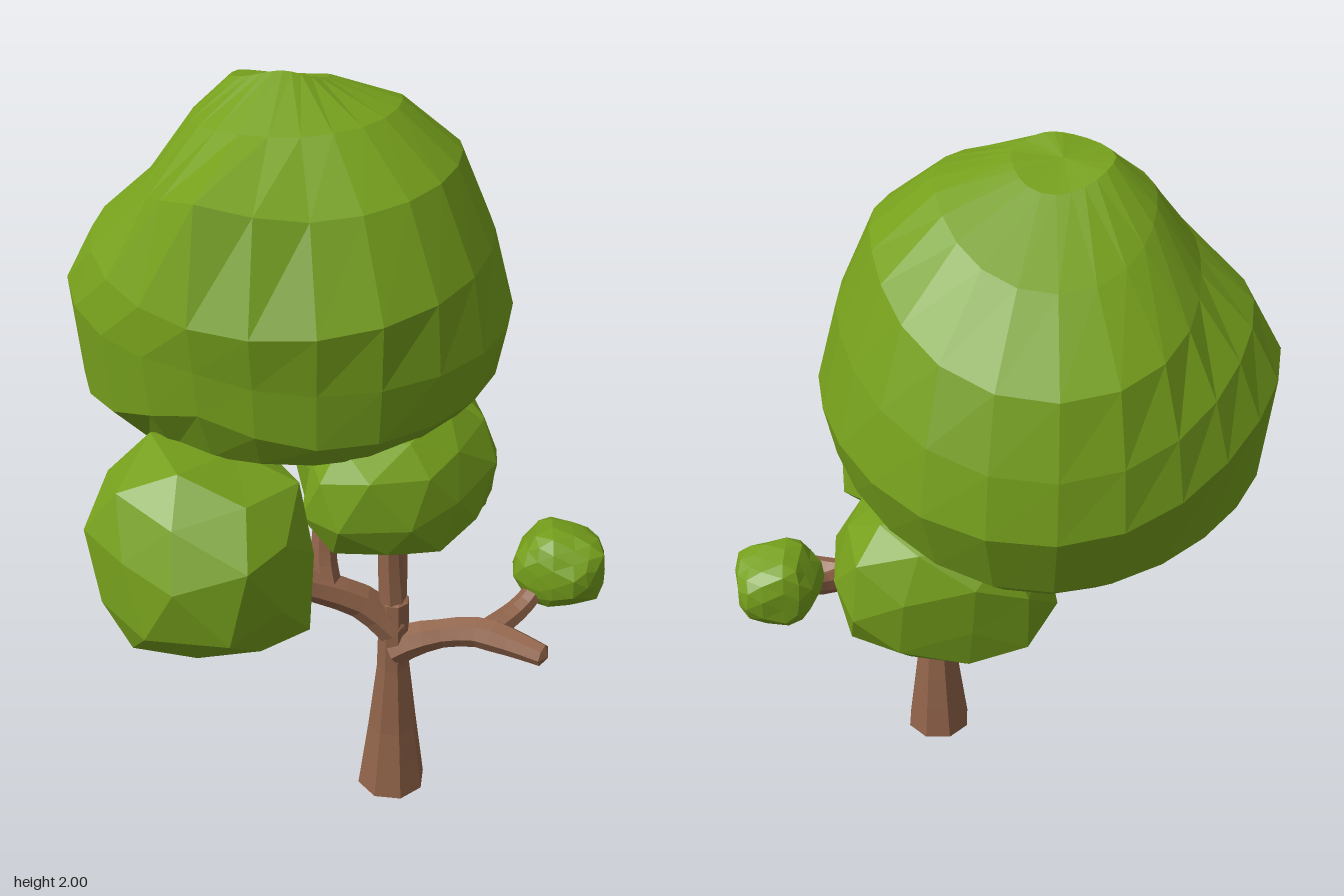
import * as THREE from 'three';

const leaf = new THREE.MeshStandardMaterial({ color: 0x76a01c, flatShading: true });
const bark = new THREE.MeshStandardMaterial({ color: 0x91644a, flatShading: true });
const V = (x, y, z) => new THREE.Vector3(x, y, z);

// Closed skin over a row of rings, with a centre point capping each end
function loft(rings, startTip, endTip) {
  const n = rings[0].length;
  const points = [...rings.flat(), startTip, endTip];
  const start = points.length - 2, end = start + 1, last = (rings.length - 1) * n;
  const index = [];
  for (let j = 0; j < n; j++) {
    const k = (j + 1) % n;
    for (let i = 0; i < last; i += n) index.push(i + j, i + k, i + n + k, i + j, i + n + k, i + n + j);
    index.push(start, k, j, end, last + j, last + k);
  }
  const g = new THREE.BufferGeometry().setFromPoints(points);
  g.setIndex(index);
  const flat = g.toNonIndexed();
  flat.computeVertexNormals();
  return flat;
}

// Tapered limb along a curve; radii are spread evenly over its length
function limb(name, path, radii, sides = 7, steps = 7) {
  const curve = new THREE.CatmullRomCurve3(path.map(p => V(...p)));
  const { normals, binormals, tangents } = curve.computeFrenetFrames(steps);
  const rings = [];
  for (let i = 0; i <= steps; i++) {
    const t = i / steps, f = t * (radii.length - 1), a = Math.min(Math.floor(f), radii.length - 2);
    const r = THREE.MathUtils.lerp(radii[a], radii[a + 1], f - a);
    const c = curve.getPointAt(t);
    rings.push(Array.from({ length: sides }, (_, j) => {
      const w = (j + 0.5) / sides * Math.PI * 2;
      return c.clone().addScaledVector(normals[i], r * Math.cos(w)).addScaledVector(binormals[i], r * Math.sin(w));
    }));
  }
  const tip = curve.getPointAt(1).addScaledVector(tangents[steps], 0.015);
  const mesh = new THREE.Mesh(loft(rings, curve.getPointAt(0), tip), bark);
  mesh.name = name;
  return mesh;
}

// Lumpy, slightly boxy foliage ball fitted to a box; lean stretches it along one diagonal of x and z
function clump(name, min, max, seed, lean, detail = 1) {
  const g = new THREE.IcosahedronGeometry(1, detail);
  g.rotateX(seed).rotateZ(seed * 1.7);
  const p = g.attributes.position, v = V(0, 0, 0);
  const box = c => Math.sign(c) * Math.abs(c) ** 0.84;
  for (let i = 0; i < p.count; i++) {
    v.fromBufferAttribute(p, i);
    const k = 1 + 0.07 * Math.sin(5 * v.x + seed) * Math.cos(4 * v.y - seed) + 0.05 * Math.sin(6 * v.z + 2 * seed);
    p.setXYZ(i, k * (box(v.x) + lean * box(v.z)), k * box(v.y), k * box(v.z));
  }
  g.computeBoundingBox();
  const size = g.boundingBox.getSize(V(0, 0, 0)), lo = g.boundingBox.min;
  g.translate(-lo.x, -lo.y, -lo.z);
  g.scale(...[0, 1, 2].map(i => (max[i] - min[i]) / size.getComponent(i)));
  g.translate(...min);
  g.computeVertexNormals();
  const mesh = new THREE.Mesh(g, leaf);
  mesh.name = name;
  return mesh;
}

// Main crown: four side profiles [radius, height], blended around the axis
function crown() {
  const profiles = [
    [[0.10, 1.97], [0.28, 1.92], [0.43, 1.80], [0.52, 1.60], [0.575, 1.40], [0.55, 1.27], [0.47, 1.17], [0.2, 1.07]], // +x
    [[0.08, 2.00], [0.28, 1.90], [0.46, 1.76], [0.585, 1.53], [0.56, 1.38], [0.55, 1.23], [0.49, 1.16], [0.2, 1.06]], // +z
    [[0.14, 1.97], [0.24, 1.88], [0.35, 1.73], [0.49, 1.61], [0.57, 1.48], [0.55, 1.20], [0.42, 1.07], [0.2, 1.02]], // -x
    [[0.13, 1.93], [0.34, 1.79], [0.53, 1.63], [0.58, 1.46], [0.60, 1.31], [0.53, 1.13], [0.42, 1.04], [0.2, 1.00]], // -z
  ];
  // Extra lift per level near the front: a shoulder on top and a raised lower rim
  const lift = [0, 0, 0.05, 0, 0.03, 0.07, 0, 0], bulge = [0, 0, 0.06, 0, 0, 0, 0, 0];
  const cx = -0.15, cz = -0.08, sides = 24;
  const rings = profiles[0].map((_, level) => Array.from({ length: sides }, (_, j) => {
    const a = j / sides * Math.PI * 2, q = Math.floor(j * 4 / sides);
    const w = Math.sin(a - q * Math.PI / 2) ** 2;
    const [r0, y0] = profiles[q][level], [r1, y1] = profiles[(q + 1) % 4][level];
    // Fuller towards +x+z, flatter towards -x-z
    const swell = 1 + 0.05 * Math.sin(2 * a) * Math.cos(a - Math.PI / 4);
    const near = Math.exp(-(((a - 1.85) / 0.32) ** 2));
    const r = THREE.MathUtils.lerp(r0, r1, w) * swell + bulge[level] * near;
    return V(cx + r * Math.cos(a), THREE.MathUtils.lerp(y0, y1, w) + lift[level] * near, cz + r * Math.sin(a));
  }));
  const mesh = new THREE.Mesh(loft(rings, V(-0.17, 1.97, -0.09), V(cx, 1.02, cz)), leaf);
  mesh.name = 'crown';
  return mesh;
}

export function createModel() {
  const tree = new THREE.Group();
  tree.name = 'tree';
  tree.add(
    // Trunk and limbs
    limb('trunk', [[0.16, 0, 0.19], [0.16, 0.2, 0.19], [0.16, 0.42, 0.2], [0.16, 0.64, 0.2]], [0.098, 0.07, 0.046, 0.042], 8, 6),
    limb('uprightBranch', [[0.16, 0.56, 0.2], [0.15, 0.7, 0.2], [0.14, 0.92, 0.2]], [0.042, 0.034, 0.03]),
    limb('rightBranch', [[0.16, 0.55, 0.2], [0.08, 0.63, 0.21], [-0.05, 0.7, 0.25], [-0.2, 0.77, 0.32]], [0.052, 0.046, 0.036]),
    limb('rightTwig', [[-0.01, 0.67, 0.24], [-0.03, 0.78, 0.21], [-0.02, 0.97, 0.18]], [0.038, 0.034, 0.028]),
    limb('backBranch', [[0.16, 0.6, 0.2], [0.155, 0.72, 0.13], [0.15, 0.81, 0]], [0.036, 0.032, 0.028]),
    limb('leftBranch', [[0.16, 0.48, 0.2], [0.23, 0.52, 0.2], [0.38, 0.555, 0.2], [0.47, 0.555, 0.23], [0.565, 0.55, 0.275]], [0.055, 0.04, 0.044, 0.03], 7, 9),
    limb('leftTwig', [[0.41, 0.555, 0.21], [0.5, 0.59, 0.12], [0.57, 0.66, 0.04]], [0.038, 0.031, 0.026]),
    // Foliage
    crown(),
    clump('frontRightFoliage', [-0.62, 0.6, 0.08], [-0.02, 1.18, 0.68], 0.4, 0.12),
    clump('frontLeftFoliage', [-0.07, 0.82, -0.03], [0.41, 1.23, 0.44], 1.3, -0.25),
    clump('backLeftFoliage', [-0.18, 0.64, -0.39], [0.41, 1.1, 0.04], 2.2, 0.05),
    clump('twigFoliage', [0.47, 0.56, -0.1], [0.72, 0.79, 0.14], 3.1, 0, 2),
  );
  return tree;
}
